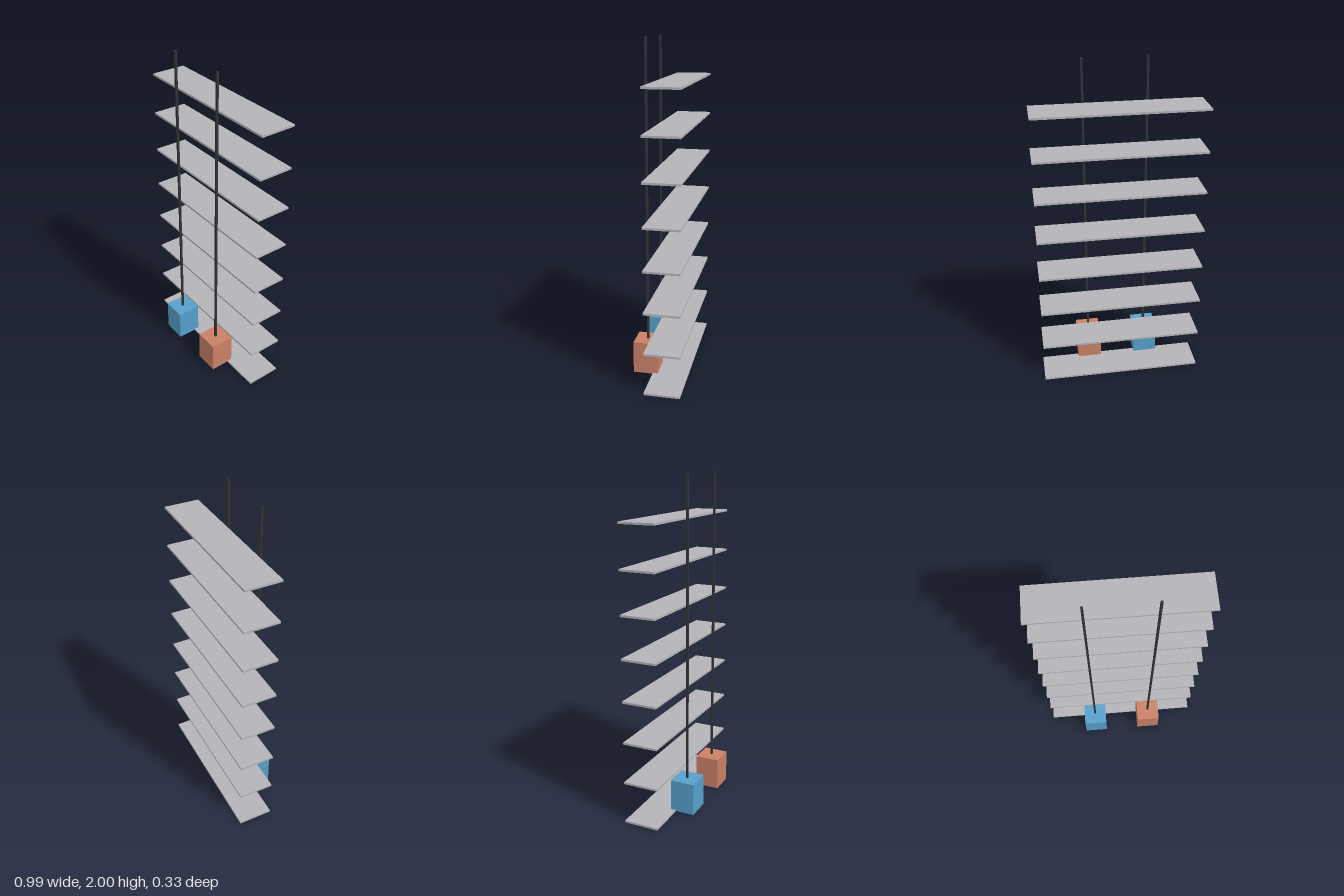
import * as THREE from 'three';

const material = (name, color) => {
  const m = new THREE.MeshStandardMaterial({ color });
  m.name = name;
  return m;
};

// Box given by its centre in x and z and its bottom in y
function box(name, mat, w, h, d, x, bottom, z) {
  const mesh = new THREE.Mesh(new THREE.BoxGeometry(w, h, d), mat);
  mesh.name = name;
  mesh.position.set(x, bottom + h / 2, z);
  return mesh;
}

export function createModel() {
  const model = new THREE.Group();
  model.name = 'elevatorShafts';
  const grey = material('floor grey', 0xb4b3b8);
  const blue = material('car blue', 0x56a0ca);
  const orange = material('car orange', 0xca8067);
  const dark = material('cable black', 0x333335);

  // Eight evenly spaced floor slabs
  for (let i = 0; i < 8; i++) {
    model.add(box('floor' + (i + 1), grey, 0.994, 0.0124, 0.214, 0, i * 0.2495, -0.06));
  }

  // Two cars, each hanging on a cable that reaches through its base
  for (const [side, sign, paint] of [['right', -1, blue], ['left', 1, orange]]) {
    const x = sign * 0.186;
    model.add(box(side + 'Car', paint, 0.149, 0.198, 0.149, x, 0.0065, 0.0915));
    model.add(box(side + 'Cable', dark, 0.0124, 1.994, 0.0124, x, 0.006, 0.0915));
  }
  return model;
}
